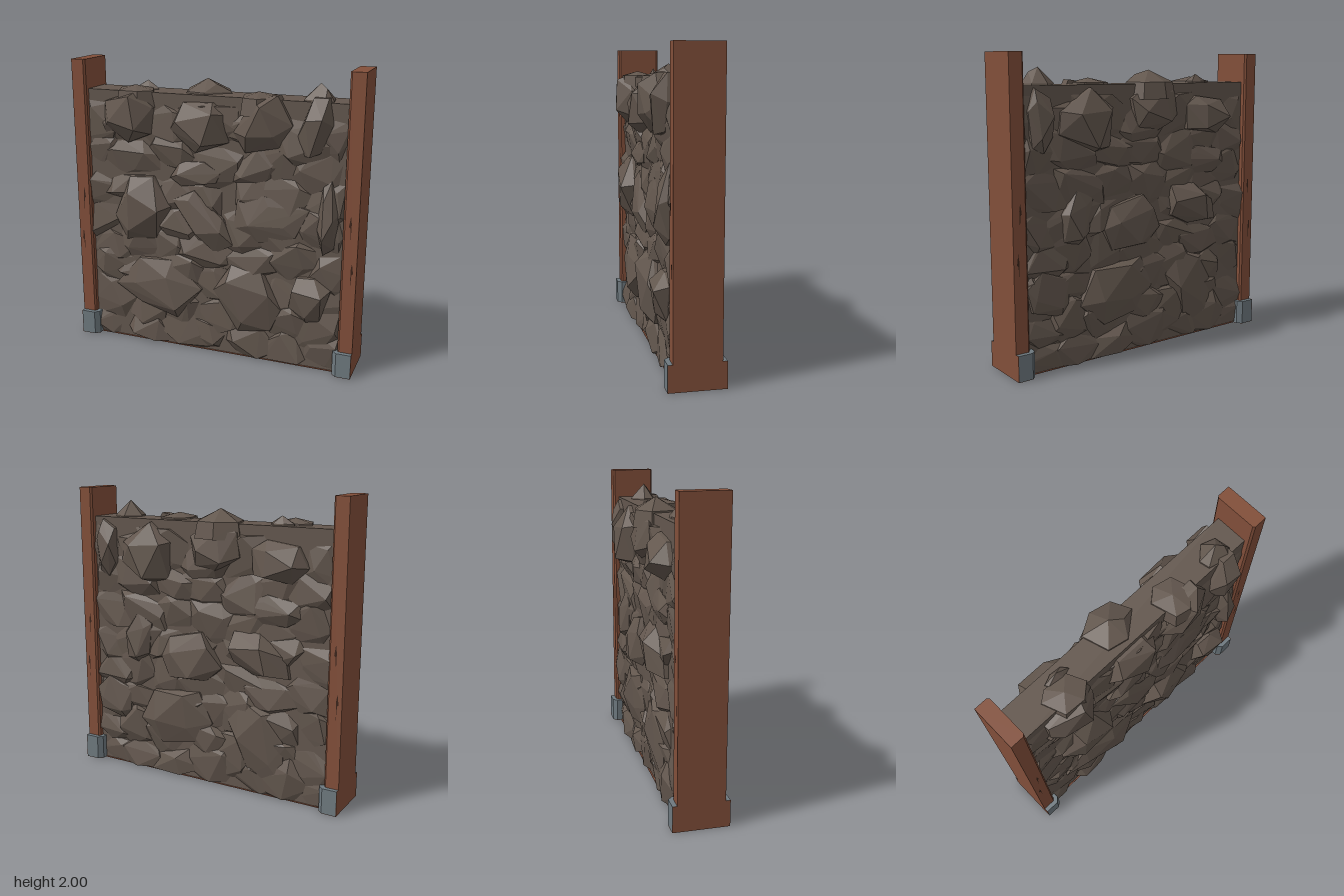
import * as THREE from 'three';
import { mergeGeometries } from 'three/addons/utils/BufferGeometryUtils.js';
import { ConvexGeometry } from 'three/addons/geometries/ConvexGeometry.js';

const mat = (name, color) => new THREE.MeshStandardMaterial({ name, color });

// Small seeded generator
function seeded(seed) {
  return () => {
    seed = (seed * 1664525 + 1013904223) % 4294967296;
    return seed / 4294967296;
  };
}

// Faceted stone: a tilted, uneven oval sunk in the wall with three proud corners
function faceStone(rnd, side, rim, top, [x, y, w, h, tilt, depth]) {
  const pts = [];
  const add = (angle, radius, z) => {
    const u = Math.cos(angle) * w * radius, v = Math.sin(angle) * h * radius;
    const px = x + u * Math.cos(tilt) - v * Math.sin(tilt);
    const py = y + u * Math.sin(tilt) + v * Math.cos(tilt);
    pts.push(new THREE.Vector3(THREE.MathUtils.clamp(px, -0.905, 0.905),
      THREE.MathUtils.clamp(py, 0.008, top), z * side));
  };
  const sides = 6;
  for (let i = 0; i < sides; i++) {
    const angle = (i + rnd() * 0.6) * Math.PI * 2 / sides;
    const radius = 0.95 + rnd() * 0.22;
    add(angle, radius, 0.07);
    add(angle, radius * 0.97, rim + rnd() * 0.015);
  }
  const start = rnd() * 6;
  for (let i = 0; i < 3; i++) add(start + i * 2.1, 0.5 + rnd() * 0.3, depth - i * 0.015);
  return new ConvexGeometry(pts);
}

// Broad, low overlapping stones that fill a face between the boulders
function fillStones(side, rnd) {
  const list = [];
  for (let row = 0; row < 8; row++) {
    for (let col = 0; col < 7; col++) {
      const x = -0.81 + col * 0.27 + (rnd() - 0.5) * 0.14;
      const y = 0.08 + row * 0.215 + (rnd() - 0.5) * 0.1;
      const depth = (Math.abs(x) > 0.75 ? 0.135 : 0.145) + rnd() * 0.02;
      list.push(faceStone(rnd, side, 0.095, 1.74,
        [x, y, 0.17 + rnd() * 0.1, 0.11 + rnd() * 0.08, rnd() - 0.5, depth]));
    }
  }
  return list;
}

// Stone poking out of the top of the wall
function crestStone(rnd, [x, z, w, d, top]) {
  const pts = [];
  for (let i = 0; i < 6; i++) {
    const a = (i + rnd() * 0.5) * Math.PI / 3;
    const c = Math.cos(a), s = Math.sin(a);
    pts.push(new THREE.Vector3(x + c * w, 1.7, z + s * d),
      new THREE.Vector3(x + c * w * 0.88, 1.81, z + s * d * 0.88));
  }
  pts.push(new THREE.Vector3(x, top, z), new THREE.Vector3(x + w * 0.4, top - 0.03, z + d * 0.3));
  return new ConvexGeometry(pts);
}

// Boulders: x, y, half width, half height, tilt, depth
const FRONT = [
  [-0.58, 1.64, 0.18, 0.19, 0, 0.24],
  [-0.07, 1.6, 0.2, 0.17, 0, 0.23],
  [0.36, 1.63, 0.18, 0.2, -0.2, 0.235],
  [0.7, 1.64, 0.1, 0.22, -0.2, 0.23],
  [-0.51, 1, 0.21, 0.24, -0.3, 0.235],
  [-0.05, 0.96, 0.27, 0.13, -0.8, 0.2],
  [-0.12, 1.28, 0.18, 0.1, 0, 0.18],
  [0.4, 1.02, 0.27, 0.16, 0.1, 0.18],
  [0.8, 1.07, 0.07, 0.24, 0, 0.22],
  [-0.38, 0.44, 0.34, 0.2, -0.25, 0.21],
  [0.28, 0.45, 0.25, 0.25, -0.4, 0.22],
  [0.69, 0.5, 0.15, 0.16, 0, 0.225],
];
const BACK = [
  [0.22, 0.45, 0.3, 0.21, -0.4, 0.2],
  [-0.42, 0.38, 0.19, 0.3, -0.4, 0.19],
  [0.1, 0.88, 0.25, 0.18, -0.3, 0.21],
  [-0.4, 0.97, 0.25, 0.14, 0.3, 0.235],
  [0.44, 1.57, 0.23, 0.2, 0.3, 0.235],
  [-0.09, 1.64, 0.18, 0.17, 0, 0.22],
  [-0.55, 1.57, 0.2, 0.14, 0, 0.24],
  [0.79, 1.59, 0.08, 0.2, 0, 0.2],
  [0.53, 0.97, 0.12, 0.2, 0.2, 0.19],
  [-0.5, 1.27, 0.21, 0.1, 0, 0.175],
  [0.74, 0.5, 0.16, 0.16, 0, 0.175],
];
// Crest stones: x, z, half width, half depth, top
const CREST = [
  [-0.09, -0.06, 0.2, 0.16, 1.89],
  [-0.56, 0.07, 0.17, 0.13, 1.84],
  [0.31, 0.07, 0.15, 0.15, 1.84],
  [0.7, 0.04, 0.12, 0.11, 1.91],
  [-0.52, -0.04, 0.1, 0.04, 1.86],
];

export function createModel() {
  const group = new THREE.Group();
  const stone = mat('stone', 0x63574e);
  const wood = mat('wood', 0x824f3a);
  const metal = mat('metal', 0x6e797f);
  const crack = mat('crack', 0x3b241a);
  crack.side = THREE.DoubleSide;

  const put = (parent, name, geometry, material, x = 0, y = 0, z = 0) => {
    const m = new THREE.Mesh(geometry, material);
    m.name = name;
    m.position.set(x, y, z);
    parent.add(m);
  };
  // Upright prism from a plan outline
  const prism = (plan, height) => new THREE.ExtrudeGeometry(
    new THREE.Shape(plan.map(p => new THREE.Vector2(...p))),
    { depth: height, bevelEnabled: false }).rotateX(-Math.PI / 2);

  // Wall core and its wooden sill
  put(group, 'wallCore', new THREE.BoxGeometry(1.82, 1.796, 0.22), stone, 0, 0.902, 0);
  put(group, 'sill', new THREE.BoxGeometry(1.82, 0.004, 0.24), wood, 0, 0.002, 0);

  // Stone faces and crest
  for (const [name, side, rocks] of [['front', 1, FRONT], ['back', -1, BACK]]) {
    const rnd = seeded(side + 12);
    put(group, name + 'FillStones', mergeGeometries(fillStones(side, rnd)), stone);
    put(group, name + 'Boulders',
      mergeGeometries(rocks.map(r => faceStone(rnd, side, 0.13, 1.83, r))), stone);
  }
  const crestRnd = seeded(5);
  put(group, 'crestStones', mergeGeometries(CREST.map(c => crestStone(crestRnd, c))), stone);

  // Posts, mirrored left and right
  for (const s of [1, -1]) {
    const post = new THREE.Group();
    post.name = s > 0 ? 'leftPost' : 'rightPost';
    group.add(post);
    put(post, 'postShaft', prism([[s, -0.15], [s, 0.15], [s * 0.912, 0.15], [s * 0.9, 0.138],
      [s * 0.9, -0.138], [s * 0.912, -0.15]], 2), wood);
    // Metal shoe with wooden end and underside
    const shoe = [[s * 0.998, -0.18], [s * 0.998, 0.18], [s * 0.9, 0.18], [s * 0.87, 0.15],
      [s * 0.87, -0.15], [s * 0.9, -0.18]];
    put(post, 'shoe', prism(shoe, 0.168), metal, 0, 0.002, 0);
    put(post, 'shoeUnderside', prism(shoe, 0.002), wood);
    put(post, 'shoeEnd', new THREE.BoxGeometry(0.002, 0.17, 0.36), wood, s * 0.999, 0.085, 0);
    // Thin splits in the grain, front and back
    for (const f of [1, -1]) {
      for (const [x, y, lean] of [[0.95, 0.93, 1], [0.967, 0.62, -1]]) {
        const sliver = new THREE.Shape([[0.003, 0], [-0.002, 0.1], [-0.012, 0.11], [-0.002, 0.18],
          [0.005, 0.13]].map(([u, v]) => new THREE.Vector2(u * lean * s, v)));
        put(post, 'grainSplit', new THREE.ShapeGeometry(sliver), crack, s * x, y, f * 0.152);
      }
    }
  }
  return group;
}
